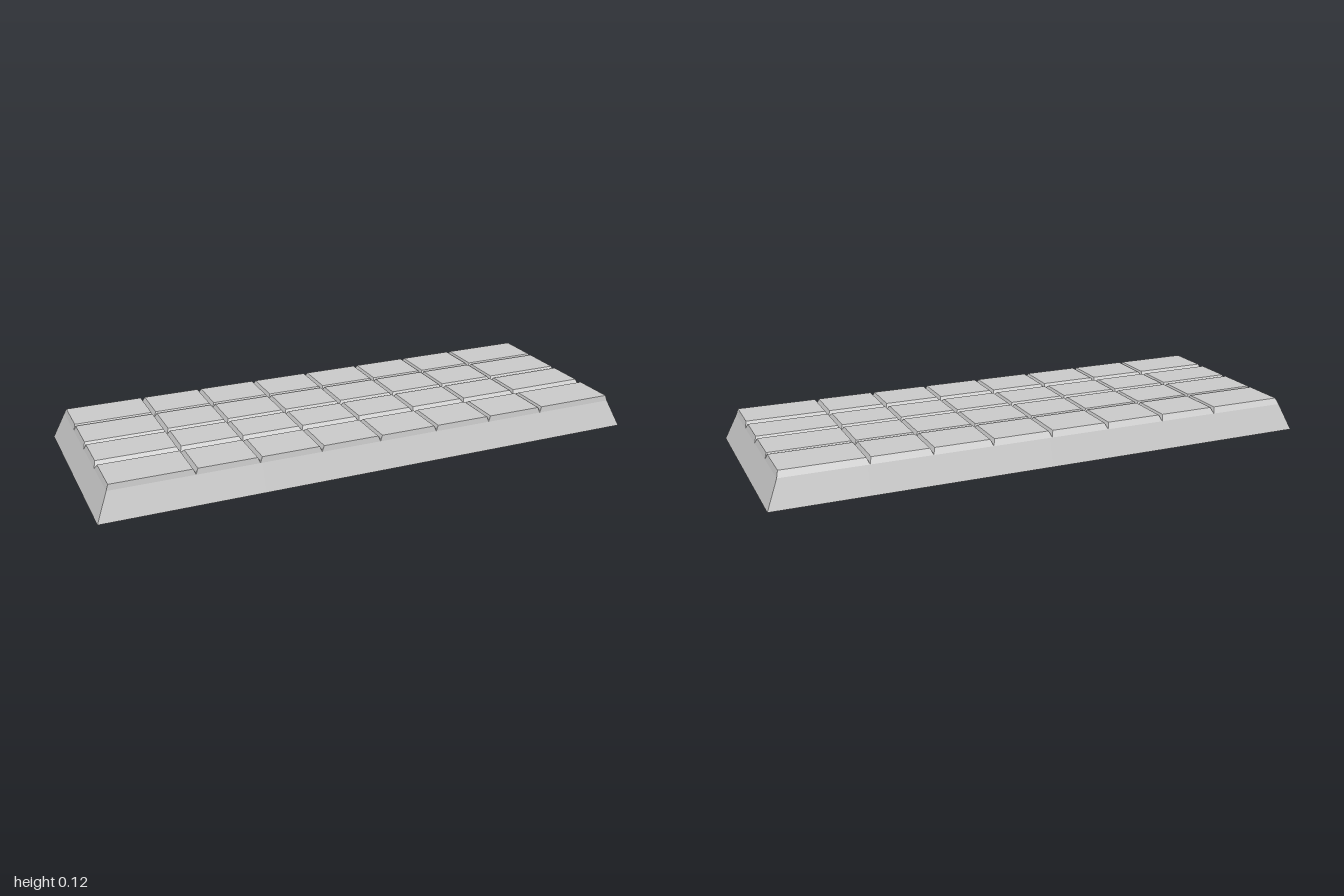
import * as THREE from 'three';

// Cross-section along one axis as [position, height] pairs:
// sloped side, shoulder, flat top cut by V grooves, shoulder, sloped side
function section(base, shoulder, topMin, topMax, grooves) {
  const BED = 0.103, SHOULDER = 0.098, TOP = 0.119;
  return [
    [-base, 0], [-shoulder, SHOULDER], [topMin, TOP],
    ...grooves.flatMap(([a, mid, b]) => [[a, TOP], [mid, BED], [b, TOP]]),
    [topMax, TOP], [shoulder, SHOULDER], [base, 0],
  ];
}

export function createModel() {
  const group = new THREE.Group();
  group.name = 'segmentedBar';

  const across = [-0.665, -0.443, -0.22, 0, 0.22, 0.436, 0.655].map((x) => [x - 0.008, x, x + 0.008]);
  const along = [[-0.18, -0.17, -0.163], [-0.01, 0.003, 0.014], [0.157, 0.172, 0.192]];
  const xs = section(1, 0.958, -0.951, 0.951, across);
  const zs = section(0.382, 0.353, -0.339, 0.351, along);

  // Upper surface: the lower of the two sections at each grid point
  const positions = [];
  const point = (i, j) => [xs[i][0], Math.min(xs[i][1], zs[j][1]), zs[j][0]];
  const triangle = (...corners) => corners.forEach((c) => positions.push(...c));
  for (let i = 0; i < xs.length - 1; i++) {
    for (let j = 0; j < zs.length - 1; j++) {
      const a = point(i, j), b = point(i, j + 1), c = point(i + 1, j + 1), d = point(i + 1, j);
      // Split each cell along the mitre line where the two slopes meet
      const rising = (xs[i + 1][1] - xs[i][1]) * (zs[j + 1][1] - zs[j][1]) >= 0;
      if (rising) {
        triangle(a, b, c);
        triangle(a, c, d);
      } else {
        triangle(a, b, d);
        triangle(b, c, d);
      }
    }
  }
  const geometry = new THREE.BufferGeometry();
  geometry.setAttribute('position', new THREE.Float32BufferAttribute(positions, 3));
  geometry.computeVertexNormals();

  const material = new THREE.MeshStandardMaterial({ color: 0xcccccc });
  const bar = new THREE.Mesh(geometry, material);
  bar.name = 'groovedBar';

  // Flat underside
  const underside = new THREE.Mesh(new THREE.PlaneGeometry(2, 0.764).rotateX(Math.PI / 2), material);
  underside.name = 'underside';

  group.add(bar, underside);
  return group;
}
